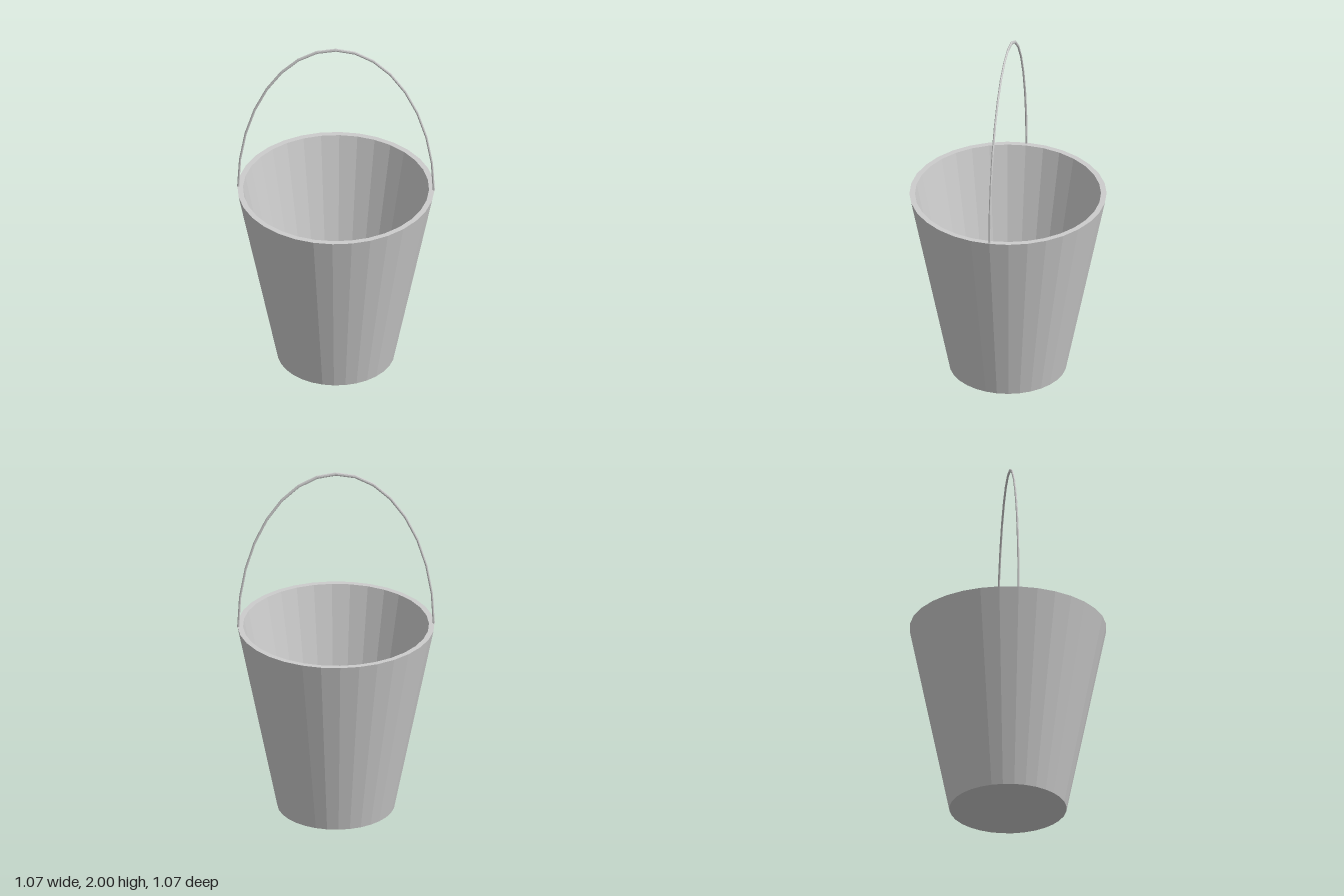
import * as THREE from 'three';

export function createModel() {
  const model = new THREE.Group();
  const material = new THREE.MeshStandardMaterial({ color: 0xcccccc, flatShading: true });
  const sides = 32, height = 1.08;

  // Tapered bucket: underside, outer wall, flat rim, inner wall, floor
  const profile = [
    [0, 0], [0.318, 0], [0.534, height], [0.504, height], [0.298, 0.04], [0, 0.04],
  ].map(([r, y]) => new THREE.Vector2(r, y));
  const bucket = new THREE.Mesh(new THREE.LatheGeometry(profile, sides), material);
  bucket.name = 'bucket';
  model.add(bucket);

  // Half-ring wire handle, stretched upward into an ellipse
  const radius = 0.53, wire = 0.006;
  const arch = new THREE.TorusGeometry(radius, wire, 8, sides / 2, Math.PI);
  arch.scale(1, (2 - height) / (radius + wire), 1);
  const handle = new THREE.Mesh(arch, material);
  handle.name = 'handle';
  handle.position.y = height;
  model.add(handle);

  return model;
}
